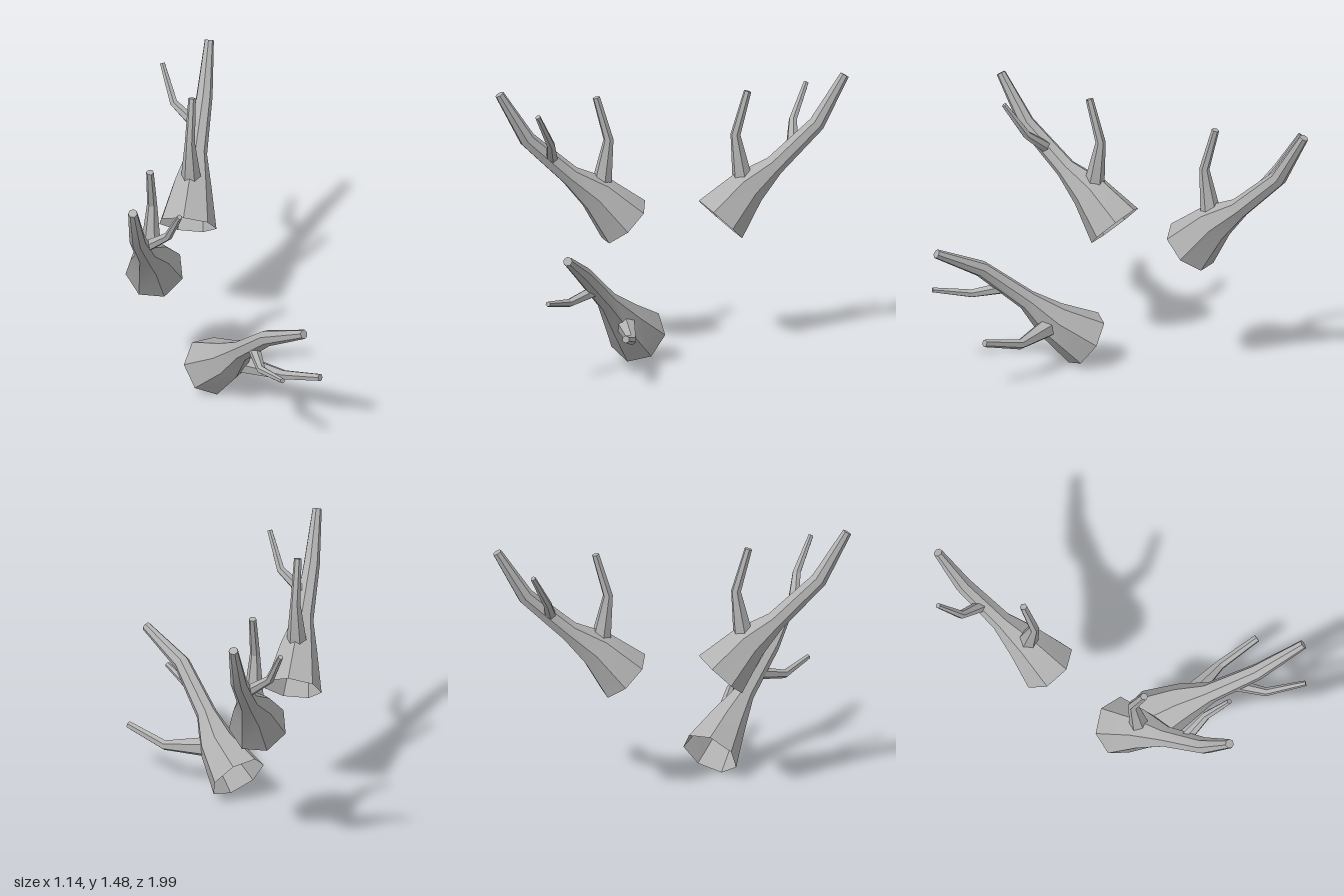
import * as THREE from 'three';
import { toCreasedNormals } from 'three/addons/utils/BufferGeometryUtils.js';

const bark = new THREE.MeshStandardMaterial({ color: 0xb2b2b2, side: THREE.DoubleSide });
bark.name = 'grey bark';

const V = (x, y, z) => new THREE.Vector3(x, y, z);

// Tapered limb through rings [x, y, z, radius]; open at the root, capped at the tip.
function limb(name, rings, sides, ref) {
  const centres = rings.map(([x, y, z]) => V(x, y, z));
  const last = rings.length - 1;
  const points = [];
  centres.forEach((c, k) => {
    const t = V(0, 0, 0);
    if (k > 0) t.add(c.clone().sub(centres[k - 1]).normalize());
    if (k < last) t.add(centres[k + 1].clone().sub(c).normalize());
    t.normalize();
    const a = ref.clone().addScaledVector(t, -ref.dot(t)).normalize();
    const b = t.clone().cross(a);
    for (let i = 0; i < sides; i++) {
      const angle = (i / sides) * Math.PI * 2;
      points.push(c.clone()
        .addScaledVector(a, Math.cos(angle) * rings[k][3])
        .addScaledVector(b, Math.sin(angle) * rings[k][3]));
    }
  });
  points.push(centres[last]);

  const index = [];
  for (let i = 0; i < sides; i++) {
    const j = (i + 1) % sides;
    for (let k = 0; k < last; k++) {
      const p = k * sides, q = p + sides;
      index.push(p + i, p + j, q + j, p + i, q + j, q + i);
    }
    index.push(points.length - 1, last * sides + i, last * sides + j);
  }
  const geometry = new THREE.BufferGeometry().setFromPoints(points);
  geometry.setIndex(index);
  const mesh = new THREE.Mesh(toCreasedNormals(geometry, 0.5), bark);
  mesh.name = name;
  return mesh;
}

// One branch growing along local +z, with its flared open root at the origin.
function branch(name) {
  const group = new THREE.Group();
  group.name = name;
  group.add(
    limb('mainStem', [
      [0, 0, 0, 0.163],
      [0, 0, 0.234, 0.108],
      [0, -0.035, 0.416, 0.058],
      [0, -0.064, 0.745, 0.046],
      [0, 0, 1.047, 0.026],
    ], 7, V(0, 1, 0)),
    limb('upperTwig', [
      [0, 0.06, 0.253, 0.056],
      [0, 0.255, 0.405, 0.028],
      [0, 0.368, 0.628, 0.021],
    ], 6, V(1, 0, 0)),
    limb('sideTwig', [
      [0.02, -0.041, 0.572, 0.034],
      [0.155, -0.002, 0.68, 0.024],
      [0.235, 0.051, 0.883, 0.015],
    ], 6, V(0, 1, 0)),
  );
  return group;
}

// Each placement: root position, upper side direction, growth direction.
const placements = [
  ['frontBranch', V(-0.41, 0.71, 0.26), V(0, 0.683, -0.731), V(0, 0.731, 0.683)],
  ['backBranch', V(-0.32, 0.71, -0.26), V(0, 0.683, 0.731), V(0, 0.731, -0.683)],
  ['lowBranch', V(-0.103, 0.142, 0.273), V(0.777, -0.584, -0.234), V(0.598, 0.569, 0.564)],
];

export function createModel() {
  const model = new THREE.Group();
  model.name = 'branches';
  for (const [name, root, up, along] of placements) {
    const d = along.clone().normalize();
    const side = up.clone().cross(d).normalize();
    const top = d.clone().cross(side);
    const part = branch(name);
    part.quaternion.setFromRotationMatrix(new THREE.Matrix4().makeBasis(side, top, d));
    part.position.copy(root);
    model.add(part);
  }
  return model;
}
